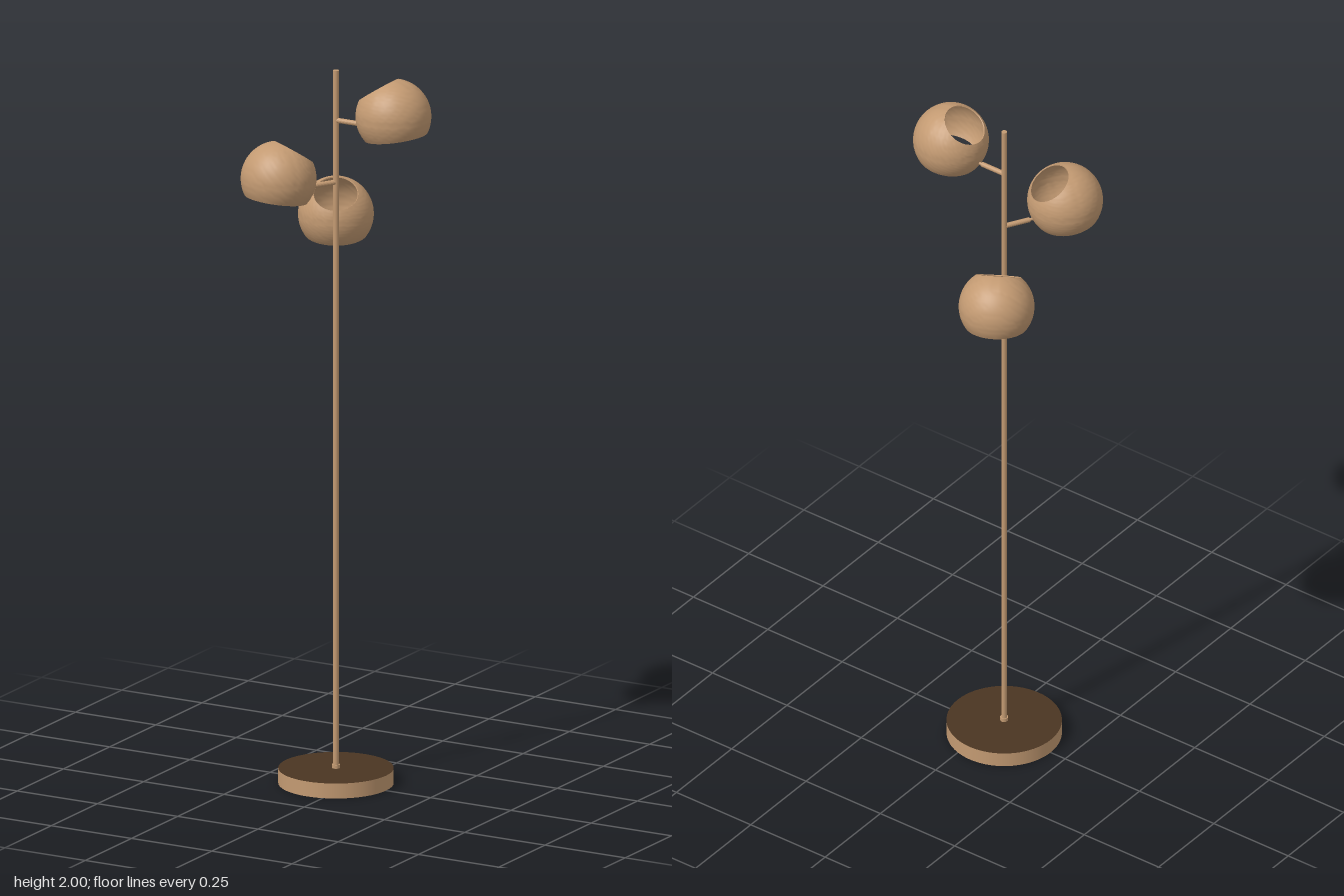
import * as THREE from 'three';
import { toCreasedNormals } from 'three/addons/utils/BufferGeometryUtils.js';

const rad = THREE.MathUtils.degToRad;

// Hollow globe with two openings: the upper one leans towards the pole, the lower one faces down.
function shadeGeometry(radius, wall) {
  const top = rad(36.2), bottom = rad(123.5), steps = 24;
  const profile = [];
  const arc = (r, from, to) => {
    for (let i = 0; i <= steps; i++) {
      const a = from + (to - from) * i / steps;
      profile.push(new THREE.Vector2(r * Math.sin(a), r * Math.cos(a)));
    }
  };
  arc(radius, bottom, top);
  arc(radius - wall, top, bottom);
  profile.push(profile[0].clone());
  const geometry = new THREE.LatheGeometry(profile, 56);
  // Lean each ring by its place between the openings, so both rims stay flat circles.
  const position = geometry.attributes.position;
  const p = new THREE.Vector3(), axis = new THREE.Vector3(0, 0, 1);
  for (let i = 0; i < position.count; i++) {
    p.fromBufferAttribute(position, i);
    const t = (Math.acos(p.y / p.length()) - top) / (bottom - top);
    p.applyAxisAngle(axis, rad(THREE.MathUtils.lerp(34, 9, t)));
    position.setXYZ(i, p.x, p.y, p.z);
  }
  return toCreasedNormals(geometry, 0.7);
}

// Turned part lying along +x; points are [distance along x, radius].
function turned(points, segments = 28) {
  const geometry = new THREE.LatheGeometry(points.map(([x, r]) => new THREE.Vector2(r, x)), segments);
  geometry.rotateZ(-Math.PI / 2);
  return toCreasedNormals(geometry, 0.7);
}

export function createModel() {
  const model = new THREE.Group();
  model.name = 'floorLamp';
  const bronze = new THREE.MeshStandardMaterial({ color: 0xc39a72, side: THREE.DoubleSide });
  bronze.name = 'bronze';
  const darkBronze = new THREE.MeshStandardMaterial({ color: 0x4a3522 });
  darkBronze.name = 'dark bronze';
  const white = new THREE.MeshStandardMaterial({ color: 0xe6e6e2 });
  white.name = 'white glass';

  const add = (parent, name, geometry, material, x = 0, y = 0, z = 0) => {
    const mesh = new THREE.Mesh(geometry, material);
    mesh.name = name;
    mesh.position.set(x, y, z);
    parent.add(mesh);
    return mesh;
  };

  const stand = new THREE.Group();
  stand.name = 'stand';
  stand.position.x = -0.045;
  model.add(stand);

  // Round base with a dark top, a small collar and the pole
  add(stand, 'base', new THREE.CylinderGeometry(0.156, 0.156, 0.042, 64), [bronze, darkBronze, bronze], 0, 0.021);
  add(stand, 'collar', new THREE.CylinderGeometry(0.011, 0.011, 0.01, 24), bronze, 0, 0.047);
  add(stand, 'pole', new THREE.CylinderGeometry(0.008, 0.008, 1.958, 24), bronze, 0, 1.021);

  const shade = shadeGeometry(0.1025, 0.003);
  const arm = turned([[0, 0], [0, 0.007], [0.074, 0.007], [0.074, 0.004], [0.095, 0.004], [0.095, 0]]);
  const socket = turned([[0.091, 0], [0.093, 0.009], [0.098, 0.016], [0.106, 0.021], [0.114, 0.023],
    [0.122, 0.0235], [0.122, 0]]);
  const bulb = turned([[0.122, 0], [0.122, 0.0245], [0.15, 0.0228], [0.178, 0.02], [0.188, 0.017],
    [0.194, 0.011], [0.196, 0]]);

  // Three lamp heads spiralling down the pole
  [[1.86, 0], [1.686, -120], [1.511, 120]].forEach(([y, turn], i) => {
    const head = new THREE.Group();
    head.name = 'lampHead' + (i + 1);
    head.position.y = y;
    head.rotation.y = rad(turn);
    stand.add(head);
    add(head, 'arm', arm, bronze);
    add(head, 'socket', socket, bronze);
    add(head, 'bulb', bulb, white);
    add(head, 'shade', shade, bronze, 0.179, 0.036);
  });
  return model;
}
